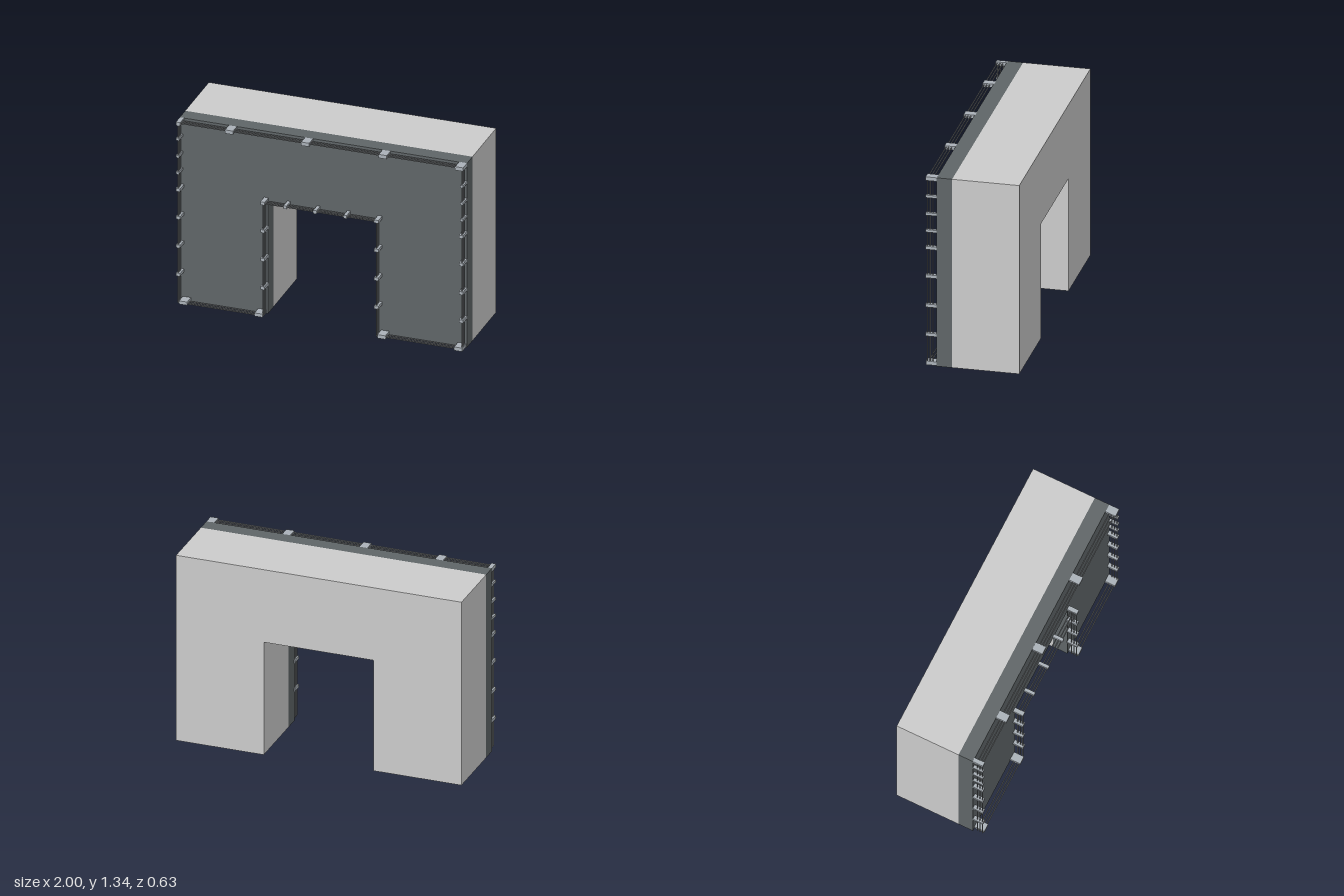
import * as THREE from 'three';

const DEPTH = 0.015; // depth of the underside recesses
const BACK = -0.315, SEAM = 0.137, FACE = 0.242, FRONT = 0.315;
const IN = 0.385, TOP = 1.34, LINTEL = 0.815;
const FOOT_R = 0.015, FOOT_L = 0; // right leg stops slightly higher

const light = new THREE.MeshStandardMaterial({ color: 0xcccccc });
const dark = new THREE.MeshStandardMaterial({ color: 0x5f6567 });
const bracketMat = new THREE.MeshStandardMaterial({ color: 0xaab1b8 });
const pipeMat = new THREE.MeshStandardMaterial({ color: 0x85898c });

const shapeOf = pts => new THREE.Shape(pts.map(p => new THREE.Vector2(...p)));
const rect = (x, y, w, h) => [
  [x - w / 2, y - h / 2], [x + w / 2, y - h / 2], [x + w / 2, y + h / 2], [x - w / 2, y + h / 2],
];

function add(group, name, geometry, material) {
  const mesh = new THREE.Mesh(geometry, material);
  mesh.name = name;
  group.add(mesh);
  return mesh;
}

// Gate-shaped slab between two z planes; lift raises its undersides
function arch(z0, z1, lift) {
  const shape = shapeOf([
    [-1, FOOT_R + lift], [-IN, FOOT_R + lift], [-IN, LINTEL + lift], [IN, LINTEL + lift],
    [IN, FOOT_L + lift], [1, FOOT_L + lift], [1, TOP], [-1, TOP],
  ]);
  return new THREE.ExtrudeGeometry(shape, { depth: z1 - z0, bevelEnabled: false }).translate(0, 0, z0);
}

// Dark underside plate with rectangular recesses [x, z, w, d]
function underside(group, name, x0, x1, y, recesses) {
  const w = x1 - x0, d = SEAM - BACK, cx = (x0 + x1) / 2, cz = (SEAM + BACK) / 2;
  const shape = shapeOf(rect(cx, cz, w, d));
  for (const r of recesses) shape.holes.push(new THREE.Path(rect(...r).map(p => new THREE.Vector2(...p))));
  const plate = new THREE.ExtrudeGeometry(shape, { depth: DEPTH, bevelEnabled: false });
  add(group, name, plate.rotateX(Math.PI / 2).translate(0, y + DEPTH, 0), [dark, light]);
  for (const [x, z, rw, rd] of recesses) {
    const floor = new THREE.PlaneGeometry(rw, rd).rotateX(Math.PI / 2);
    add(group, name + 'RecessFloor', floor.translate(x, y + DEPTH - 0.001, z), dark);
  }
}

export function createModel() {
  const model = new THREE.Group();
  model.name = 'gateway';

  // Main block and dark front panel
  add(model, 'body', arch(BACK, SEAM, DEPTH), light);
  add(model, 'frontPanel', arch(SEAM, FACE, 0), dark);

  // Recessed undersides of both legs and the lintel
  const legRecesses = side => {
    const list = [];
    for (const x of [0.49, 0.69, 0.89]) for (const z of [-0.2, 0.027]) list.push([side * x, z, 0.105, 0.115]);
    return list;
  };
  underside(model, 'rightLegUnderside', -1, -IN, FOOT_R, legRecesses(-1));
  underside(model, 'leftLegUnderside', IN, 1, FOOT_L, legRecesses(1));
  underside(model, 'lintelUnderside', -IN, IN, LINTEL, [
    [-0.255, -0.04, 0.11, 0.12], [-0.04, -0.04, 0.11, 0.12], [0.18, -0.04, 0.11, 0.12],
    [0.14, -0.2, 0.25, 0.12],
  ]);

  // Three parallel pipes following the outline of the front
  const pipes = new THREE.Group();
  pipes.name = 'pipes';
  model.add(pipes);
  const path = [
    [-0.987, 0.025], [-0.395, 0.025], [-0.395, 0.843], [0.392, 0.843],
    [0.392, 0.012], [0.987, 0.012], [0.987, 1.33], [-0.987, 1.33],
  ];
  const up = new THREE.Vector3(0, 1, 0);
  for (const z of [0.268, 0.287, 0.305]) {
    path.forEach((p, i) => {
      const a = new THREE.Vector3(p[0], p[1], z);
      const b = new THREE.Vector3(...path[(i + 1) % path.length], z);
      const dir = b.clone().sub(a);
      const pipe = add(pipes, 'pipe', new THREE.CylinderGeometry(0.004, 0.004, dir.length(), 8), pipeMat);
      pipe.position.copy(a).add(b).multiplyScalar(0.5);
      pipe.quaternion.setFromUnitVectors(up, dir.normalize());
    });
  }

  // Brackets holding the pipes off the panel
  const brackets = new THREE.Group();
  brackets.name = 'brackets';
  model.add(brackets);
  const bracket = (x, y, w, h) => {
    const box = new THREE.BoxGeometry(w, h, FRONT - FACE + 0.004);
    add(brackets, 'bracket', box, bracketMat).position.set(x, y, (FRONT + FACE - 0.004) / 2);
  };
  for (const x of [-0.63, -0.1, 0.44, 0.972]) bracket(x, 1.327, 0.056, 0.026);
  bracket(-0.985, 1.327, 0.03, 0.026);
  for (const x of [-0.95, -0.425]) bracket(x, 0.03, 0.056, 0.024);
  for (const x of [0.43, 0.965]) bracket(x, 0.014, 0.056, 0.026);
  for (const x of [-0.24, -0.033, 0.178]) bracket(x, 0.845, 0.022, 0.024);
  for (const y of [1.215, 1.09, 0.97]) {
    bracket(-0.989, y, 0.022, 0.018);
    bracket(0.989, y - 0.014, 0.022, 0.018);
  }
  for (const y of [0.847, 0.645, 0.437, 0.231]) {
    bracket(-0.985, y, 0.03, 0.022);
    bracket(-0.397, y, 0.03, 0.022);
    bracket(0.395, y > 0.8 ? y : y - 0.008, 0.03, 0.022);
    bracket(0.985, y - 0.012, 0.03, 0.022);
  }
  return model;
}
